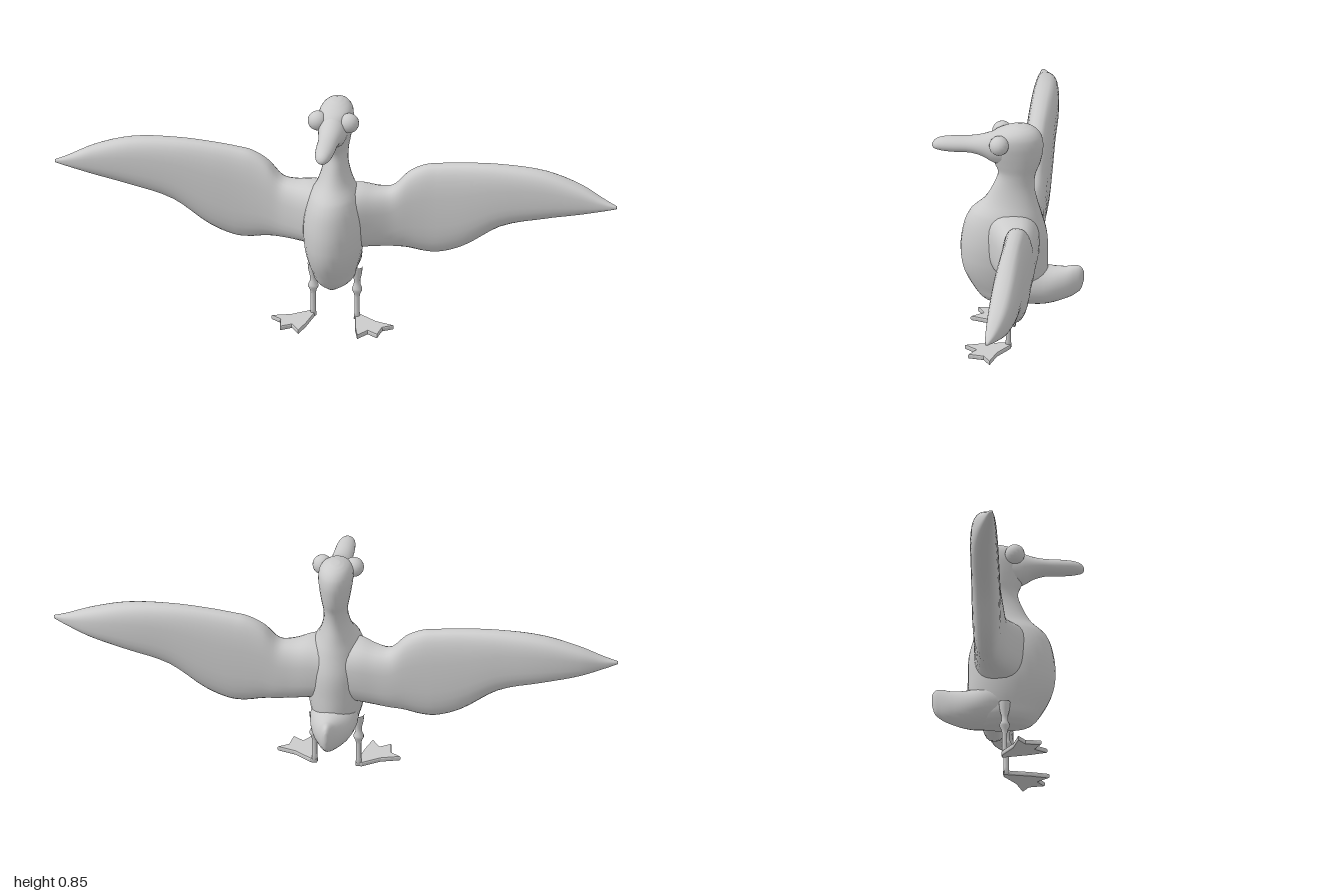
import * as THREE from 'three';

const material = new THREE.MeshStandardMaterial({ color: 0xcccccc });

// Skins smooth cross-sections. Each row is [t, aMin, aMax, bMin, bMax];
// place maps (t, a, b) to x, y, z. A power below 1 squares the section off.
function loft(name, rows, place, flip = false, power = 1, sides = 28, steps = 4) {
  const curve = new THREE.CubicInterpolant(rows.map(r => r[0]), rows.flatMap(r => r.slice(1)), 4, new Array(4));
  const positions = [], index = [];
  const bend = v => Math.sign(v) * Math.abs(v) ** power;
  const count = (rows.length - 1) * steps;
  const centres = [];
  for (let i = 0; i <= count; i++) {
    const k = Math.min(Math.floor(i / steps), rows.length - 2);
    const t = THREE.MathUtils.lerp(rows[k][0], rows[k + 1][0], i / steps - k);
    const [a0, a1, b0, b1] = curve.evaluate(t);
    const a = (a0 + a1) / 2, b = (b0 + b1) / 2;
    if (i === 0 || i === count) centres.push(place(t, a, b));
    for (let j = 0; j < sides; j++) {
      const angle = j / sides * Math.PI * 2;
      positions.push(...place(t, a + bend(Math.cos(angle)) * (a1 - a0) / 2, b + bend(Math.sin(angle)) * (b1 - b0) / 2));
    }
  }
  const first = positions.length / 3;
  positions.push(...centres[0], ...centres[1]);
  const face = (p, q, r) => flip ? index.push(p, r, q) : index.push(p, q, r);
  for (let j = 0; j < sides; j++) {
    const n = (j + 1) % sides;
    for (let i = 0; i < count; i++) {
      const p = i * sides, q = p + sides;
      face(p + j, p + n, q + j);
      face(p + n, q + n, q + j);
    }
    face(first, n, j);
    face(first + 1, count * sides + j, count * sides + n);
  }
  const geometry = new THREE.BufferGeometry();
  geometry.setAttribute('position', new THREE.Float32BufferAttribute(positions, 3));
  geometry.setIndex(index);
  geometry.computeVertexNormals();
  const mesh = new THREE.Mesh(geometry, material);
  mesh.name = name;
  return mesh;
}

// Height, back, front and half width of the torso, neck and head
const bodyRows = [
  [0.148, -0.10, 0.07, 0.03], [0.165, -0.12, 0.092, 0.062], [0.21, -0.135, 0.125, 0.08],
  [0.27, -0.14, 0.155, 0.096], [0.33, -0.14, 0.167, 0.105], [0.42, -0.137, 0.162, 0.105],
  [0.50, -0.117, 0.135, 0.085], [0.55, -0.103, 0.085, 0.06], [0.61, -0.092, 0.052, 0.044],
  [0.66, -0.097, 0.036, 0.043], [0.70, -0.112, 0.05, 0.05], [0.75, -0.122, 0.068, 0.058],
  [0.79, -0.122, 0.07, 0.061], [0.82, -0.11, 0.048, 0.054], [0.84, -0.085, 0.002, 0.034],
  [0.848, -0.06, -0.025, 0.015],
].map(([y, z0, z1, w]) => [y, z0, z1, -w, w]);

// Depth, bottom, top and half width of the beak
const beakRows = [
  [-0.01, 0.69, 0.835, 0.052], [0.05, 0.70, 0.817, 0.05], [0.09, 0.723, 0.802, 0.042],
  [0.13, 0.734, 0.794, 0.036], [0.20, 0.734, 0.789, 0.033], [0.245, 0.738, 0.781, 0.025],
  [0.262, 0.743, 0.77, 0.015], [0.268, 0.75, 0.76, 0.006],
].map(([z, y0, y1, w]) => [z, y0, y1, -w, w]);

// Depth, bottom, top and half width of the tail
const tailRows = [
  [-0.266, 0.24, 0.275, 0.005], [-0.258, 0.21, 0.29, 0.015], [-0.24, 0.189, 0.297, 0.025],
  [-0.20, 0.167, 0.289, 0.043], [-0.13, 0.149, 0.288, 0.072], [-0.06, 0.149, 0.31, 0.085],
  [0.02, 0.155, 0.30, 0.07],
].map(([z, y0, y1, w]) => [z, y0, y1, -w, w]);

// Distance out, bottom, top, back and front of a wing
const wingRows = [
  [0.03, 0.30, 0.52, -0.115, 0.10], [0.09, 0.295, 0.52, -0.115, 0.065], [0.15, 0.291, 0.51, -0.112, 0.03],
  [0.20, 0.287, 0.517, -0.112, 0.008], [0.25, 0.283, 0.57, -0.112, -0.002], [0.31, 0.272, 0.603, -0.112, -0.008],
  [0.36, 0.272, 0.612, -0.112, -0.01], [0.45, 0.305, 0.622, -0.111, -0.01], [0.58, 0.393, 0.628, -0.109, -0.01],
  [0.74, 0.44, 0.617, -0.105, -0.01], [0.87, 0.473, 0.578, -0.085, -0.011], [0.96, 0.501, 0.537, -0.05, -0.014],
  [1.0, 0.514, 0.523, -0.03, -0.018],
];

function makeLeg(side) {
  const leg = new THREE.Group();
  leg.name = side > 0 ? 'leftLeg' : 'rightLeg';
  const x = side * 0.078;

  // Shank with a swollen joint
  const profile = [[0, 0.004], [0.012, 0.004], [0.009, 0.03], [0.009, 0.09], [0.012, 0.105], [0.018, 0.116],
    [0.018, 0.125], [0.012, 0.138], [0.011, 0.155], [0.017, 0.18], [0.02, 0.21]].map(p => new THREE.Vector2(...p));
  const shank = new THREE.Mesh(new THREE.LatheGeometry(profile, 14), material);
  shank.name = 'shank';
  shank.position.set(x, 0, -0.008);

  // Webbed foot with three splayed toes
  const outline = [[0.07, -0.016], [0.09, -0.016], [0.15, 0.025], [0.215, 0.045], [0.18, 0.068],
    [0.172, 0.122], [0.135, 0.098], [0.105, 0.14], [0.088, 0.08]].map(([px, pz]) => new THREE.Vector2(side * px, -pz));
  const shape = new THREE.Shape(outline);
  const web = new THREE.ExtrudeGeometry(shape, { depth: 0.008, bevelEnabled: true, bevelThickness: 0.004, bevelSize: 0.002, bevelSegments: 1 });
  web.rotateX(-Math.PI / 2);
  const foot = new THREE.Mesh(web, material);
  foot.name = 'foot';
  foot.position.y = 0.004;
  leg.add(shank, foot);
  return leg;
}

export function createModel() {
  const bird = new THREE.Group();
  bird.name = 'bird';
  bird.add(
    loft('body', bodyRows, (y, z, x) => [x, y, z]),
    loft('beak', beakRows, (z, y, x) => [x, y, z], true),
    loft('tail', tailRows, (z, y, x) => [x, y, z], true),
  );
  for (const side of [1, -1]) {
    const label = side > 0 ? 'left' : 'right';
    bird.add(loft(label + 'Wing', wingRows, (x, y, z) => [side * x, y, z], side < 0, 0.75));
    const eye = new THREE.Mesh(new THREE.SphereGeometry(0.035, 16, 12), material);
    eye.name = label + 'Eye';
    eye.position.set(side * 0.056, 0.792, 0.027);
    bird.add(eye, makeLeg(side));
  }
  return bird;
}
